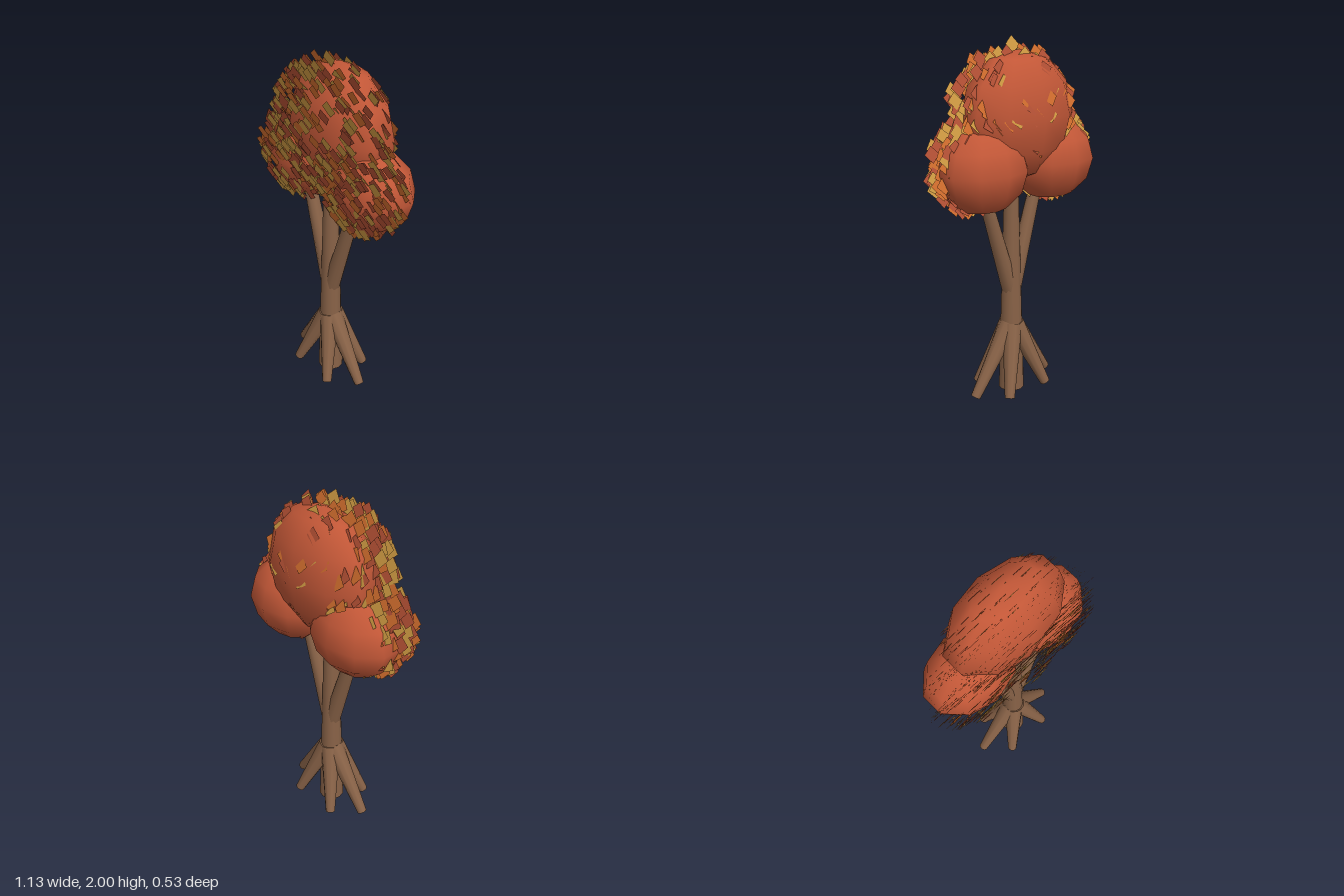
import * as THREE from 'three';
import { mergeGeometries } from 'three/addons/utils/BufferGeometryUtils.js';

const material = (name, color, side = THREE.FrontSide) => {
  const m = new THREE.MeshStandardMaterial({ color, side });
  m.name = name;
  return m;
};

// Small seeded random generator
function seeded(seed) {
  return () => {
    seed = (seed * 1664525 + 1013904223) % 4294967296;
    return seed / 4294967296;
  };
}

// Tapered limb between two points
function limb(name, from, to, r0, r1, mat, sides = 10) {
  const a = new THREE.Vector3(...from), b = new THREE.Vector3(...to);
  const dir = b.clone().sub(a);
  const mesh = new THREE.Mesh(new THREE.CylinderGeometry(r1, r0, dir.length(), sides), mat);
  mesh.position.copy(a).add(b).multiplyScalar(0.5);
  mesh.quaternion.setFromUnitVectors(new THREE.Vector3(0, 1, 0), dir.normalize());
  mesh.name = name;
  return mesh;
}

export function createModel() {
  const tree = new THREE.Group();
  tree.name = 'autumnTree';
  const bark = material('bark brown', 0x886247);
  const foliage = material('foliage rust', 0xc25737);
  const leafMats = [
    material('leaf gold', 0xd09b43, THREE.DoubleSide),
    material('leaf orange', 0xd26e2e, THREE.DoubleSide),
    material('leaf red', 0xb55135, THREE.DoubleSide),
  ];

  // Trunk and the two side branches
  tree.add(limb('trunk', [0.01, 0, 0], [0.01, 1.24, 0], 0.075, 0.04, bark, 12));
  tree.add(limb('leftBranch', [0.02, 0.62, 0], [0.222, 1.25, 0], 0.05, 0.034, bark));
  tree.add(limb('rightBranch', [0, 0.62, 0], [-0.192, 1.25, 0], 0.05, 0.034, bark));

  // Six splayed roots, thick where they leave the trunk
  const tips = [[0.285, 0], [-0.265, 0], [0.15, 0.14], [-0.13, 0.14], [0.15, -0.14], [-0.13, -0.14]];
  for (const [x, z] of tips) {
    tree.add(limb('root', [0.01 + x * 0.06, 0.4, z * 0.12], [x, 0.025, z], 0.058, 0.028, bark));
  }

  // Foliage masses: flattened, coarse, smooth-shaded spheres
  const masses = [
    { name: 'topFoliage', pos: [0.012, 1.6, -0.06], size: [0.36, 0.34, 0.205] },
    { name: 'leftFoliage', pos: [0.255, 1.345, -0.06], size: [0.262, 0.228, 0.205] },
    { name: 'rightFoliage', pos: [-0.235, 1.345, -0.06], size: [0.272, 0.228, 0.205] },
  ];
  for (const { name, pos, size } of masses) {
    const geo = new THREE.SphereGeometry(1, 10, 6).rotateY(Math.PI / 2);
    const mesh = new THREE.Mesh(geo, foliage);
    mesh.position.set(...pos);
    mesh.scale.set(...size);
    mesh.name = name;
    tree.add(mesh);
  }

  // Square leaves scattered in a shell around each mass, all leaning forward
  const rand = seeded(7);
  const clouds = [
    { pos: [0.005, 1.6, 0], size: [0.38, 0.36, 0.255], count: 500 },
    { pos: [0.265, 1.37, 0], size: [0.26, 0.255, 0.18], count: 340 },
    { pos: [-0.265, 1.37, 0], size: [0.26, 0.255, 0.18], count: 340 },
  ];
  const leaves = leafMats.map(() => []);
  for (const { pos, size, count } of clouds) {
    for (let i = 0; i < count; i++) {
      const cosT = rand() * 2 - 1, phi = rand() * Math.PI * 2;
      const sinT = Math.sqrt(1 - cosT * cosT), r = Math.pow(rand(), 0.13);
      const edge = 0.056 + rand() * 0.012;
      const leaf = new THREE.PlaneGeometry(edge, edge);
      leaf.rotateZ(Math.PI / 4 + (rand() - 0.5) * 0.5);
      leaf.rotateX(0.3);
      leaf.translate(
        pos[0] + size[0] * r * sinT * Math.cos(phi),
        pos[1] + size[1] * r * sinT * Math.sin(phi),
        pos[2] + size[2] * r * cosT,
      );
      leaves[Math.floor(rand() * 3)].push(leaf);
    }
  }
  ['goldLeaves', 'orangeLeaves', 'redLeaves'].forEach((name, i) => {
    const mesh = new THREE.Mesh(mergeGeometries(leaves[i]), leafMats[i]);
    mesh.name = name;
    tree.add(mesh);
  });

  return tree;
}
